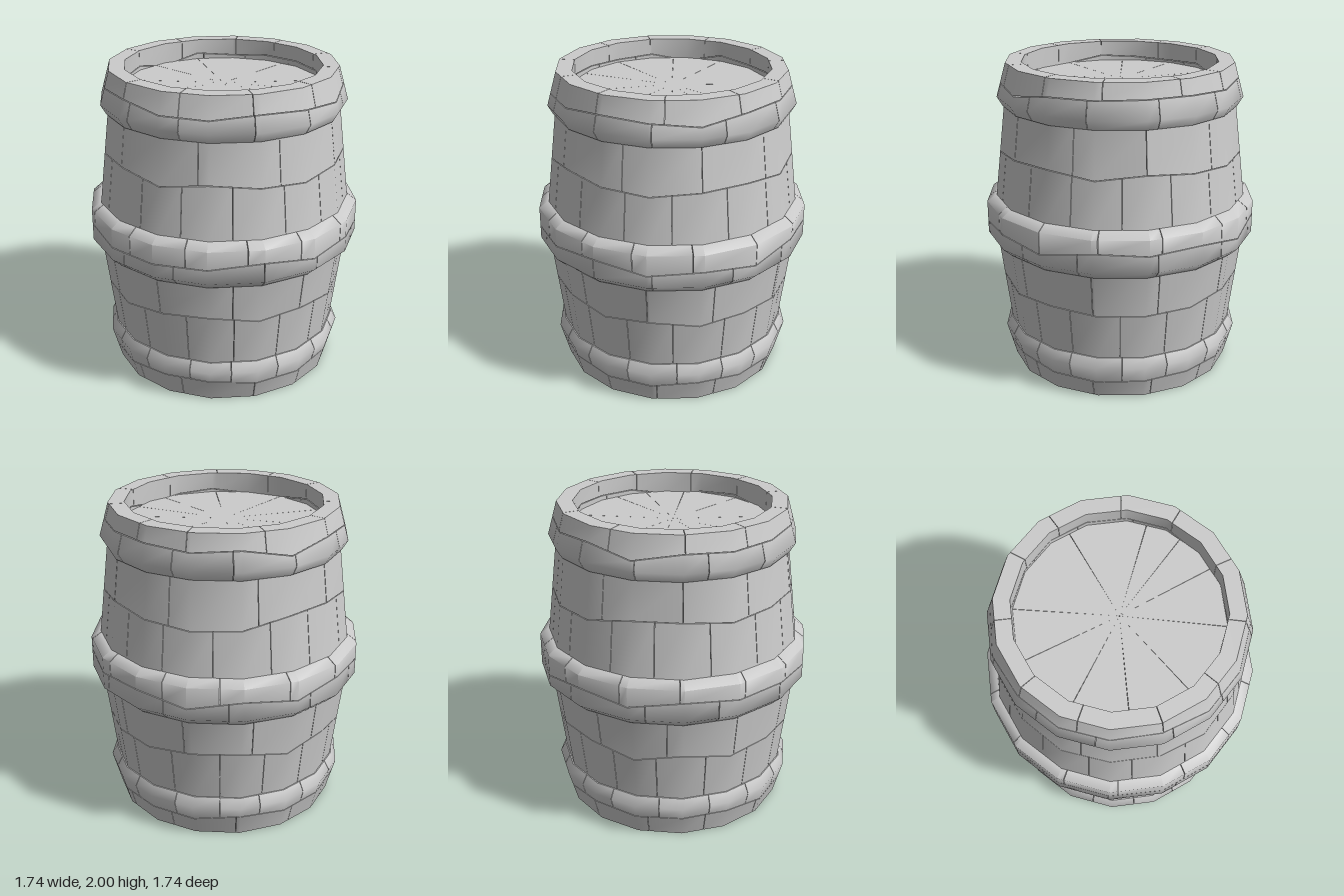
import * as THREE from 'three';
import { mergeGeometries, toCreasedNormals } from 'three/addons/utils/BufferGeometryUtils.js';

const SIDES = 16, STEP = (Math.PI * 2) / SIDES, INNER = 0.62, GAP = 0.002;

let seed = 7;
const rand = () => (seed = (seed * 16807) % 2147483647) / 2147483647;
const jitter = (a) => (rand() - 0.5) * 2 * a;

// Scale that keeps a point on the flat face of the 16-sided barrel
const facet = (t) => {
  const d = t - (Math.floor(t / STEP) + 0.5) * STEP;
  return Math.cos(STEP / 2) / Math.cos(d);
};

// Solid chunk: a closed convex cross-section [r, y] swept from angle a to b
function chunk(section, a, b) {
  const angles = [a];
  for (let k = Math.floor(a / STEP) + 1; k * STEP < b - 1e-6; k++) {
    if (k * STEP > a + 1e-6) angles.push(k * STEP);
  }
  angles.push(b);
  const pos = [], index = [];
  let n = 0;
  for (const t of angles) {
    const loop = section(t);
    n = loop.length;
    for (const [r, y] of loop) {
      const R = r * facet(t);
      pos.push(R * Math.sin(t), y, R * Math.cos(t));
    }
  }
  for (let i = 0; i < angles.length - 1; i++) {
    for (let j = 0; j < n; j++) {
      const p = i * n + j, q = i * n + (j + 1) % n;
      index.push(p, p + n, q + n, p, q + n, q);
    }
  }
  const end = (angles.length - 1) * n;
  for (let j = 1; j < n - 1; j++) {
    index.push(0, j, j + 1, end, end + j + 1, end + j);
  }
  const geo = new THREE.BufferGeometry();
  geo.setAttribute('position', new THREE.Float32BufferAttribute(pos, 3));
  geo.setIndex(index);
  return toCreasedNormals(geo, 0.95);
}

// Chunks between successive split angles, closing the circle
function ring(section, splits) {
  return splits.map((a, i) => {
    const b = i + 1 < splits.length ? splits[i + 1] : splits[0] + Math.PI * 2;
    return chunk(section, a + GAP, b - GAP);
  });
}

// Radius of a profile at height y
function radiusAt(profile, y) {
  let i = 0;
  while (i < profile.length - 2 && y > profile[i + 1][1]) i++;
  const [r0, y0] = profile[i], [r1, y1] = profile[i + 1];
  return r0 + ((r1 - r0) * (y - y0)) / (y1 - y0);
}

// Hoop of the barrel, cracked along a wandering seam into two rows of chunks
function crackedHoop(profile, seamY, wander, lowerSplits, upperSplits) {
  const offsets = Array.from({ length: SIDES }, () => jitter(wander));
  const seam = (t) => {
    const u = t / STEP, k = Math.floor(u), f = u - k;
    const at = (i) => offsets[((i % SIDES) + SIDES) % SIDES];
    return seamY + at(k) * (1 - f) + at(k + 1) * f;
  };
  const bottom = profile[0][1], top = profile[profile.length - 1][1];
  const row = (upper) => (t) => {
    const lo = upper ? seam(t) + GAP : bottom;
    const hi = upper ? top : seam(t) - GAP;
    const mid = profile.slice(1, -1).filter(([, y]) => (upper ? y > seamY : y < seamY));
    return [[radiusAt(profile, lo), lo], ...mid, [radiusAt(profile, hi), hi], [INNER, hi], [INNER, lo]];
  };
  return mergeGeometries([...ring(row(false), lowerSplits), ...ring(row(true), upperSplits)]);
}

// Irregular split angles around the barrel
const splits = (count, start, loose) =>
  Array.from({ length: count }, (_, i) => start + (i * Math.PI * 2) / count + jitter(loose));

export function createModel() {
  const barrel = new THREE.Group();
  barrel.name = 'barrel';
  const material = new THREE.MeshStandardMaterial({ color: 0xcccccc });
  const add = (name, geo) => {
    const mesh = new THREE.Mesh(geo, material);
    mesh.name = name;
    barrel.add(mesh);
  };
  const half = STEP / 2;

  // Hoops and staves, from the ground up
  add('bottomRim', crackedHoop([[0.72, 0], [0.78, 0.22], [0.745, 0.28]], 0.13, 0.025,
    splits(12, half, 0.06), splits(16, half, 0.04)));
  add('lowerStaves', crackedHoop([[0.738, 0.28], [0.808, 0.85]], 0.59, 0.035,
    splits(16, half, 0.03), splits(11, 0, 0.06)));
  add('middleBand', crackedHoop([[0.815, 0.85], [0.87, 0.9], [0.87, 1.11], [0.815, 1.15]], 1.0, 0.03,
    splits(12, 0.2, 0.06), splits(14, half, 0.05)));
  add('upperStaves', crackedHoop([[0.808, 1.15], [0.738, 1.73]], 1.45, 0.04,
    splits(16, half, 0.03), splits(10, 0.25, 0.08)));
  add('topRim', crackedHoop([[0.745, 1.73], [0.78, 1.79], [0.72, 2]], 1.88, 0.03,
    splits(12, half, 0.06), splits(11, 0.15, 0.08)));

  // Sunken lid, cracked into wedges that meet at the middle
  const disc = (inner, lo, hi) => () => [[0.64, lo], [0.64, hi], [inner, hi], [inner, lo]];
  const lidAngles = [0, 0.75, 1.37, 1.8, 2.16, 2.94, 3.93, 4.96, 5.1 + 0.02, 5.66];
  lidAngles.splice(6, 4, 3.93, 4.47, 5.11, 5.66);
  add('lid', mergeGeometries(ring(disc(0.004, 1.77, 1.87), lidAngles)));

  // Sunken base: a ring of wedges around a middle plate
  add('baseRing', mergeGeometries(ring(disc(0.33, 0.13, 0.23), splits(14, half, 0.05))));
  const plate = new THREE.CylinderGeometry(0.328, 0.328, 0.1, SIDES);
  plate.translate(0, 0.18, 0);
  add('basePlate', plate);

  return barrel;
}
